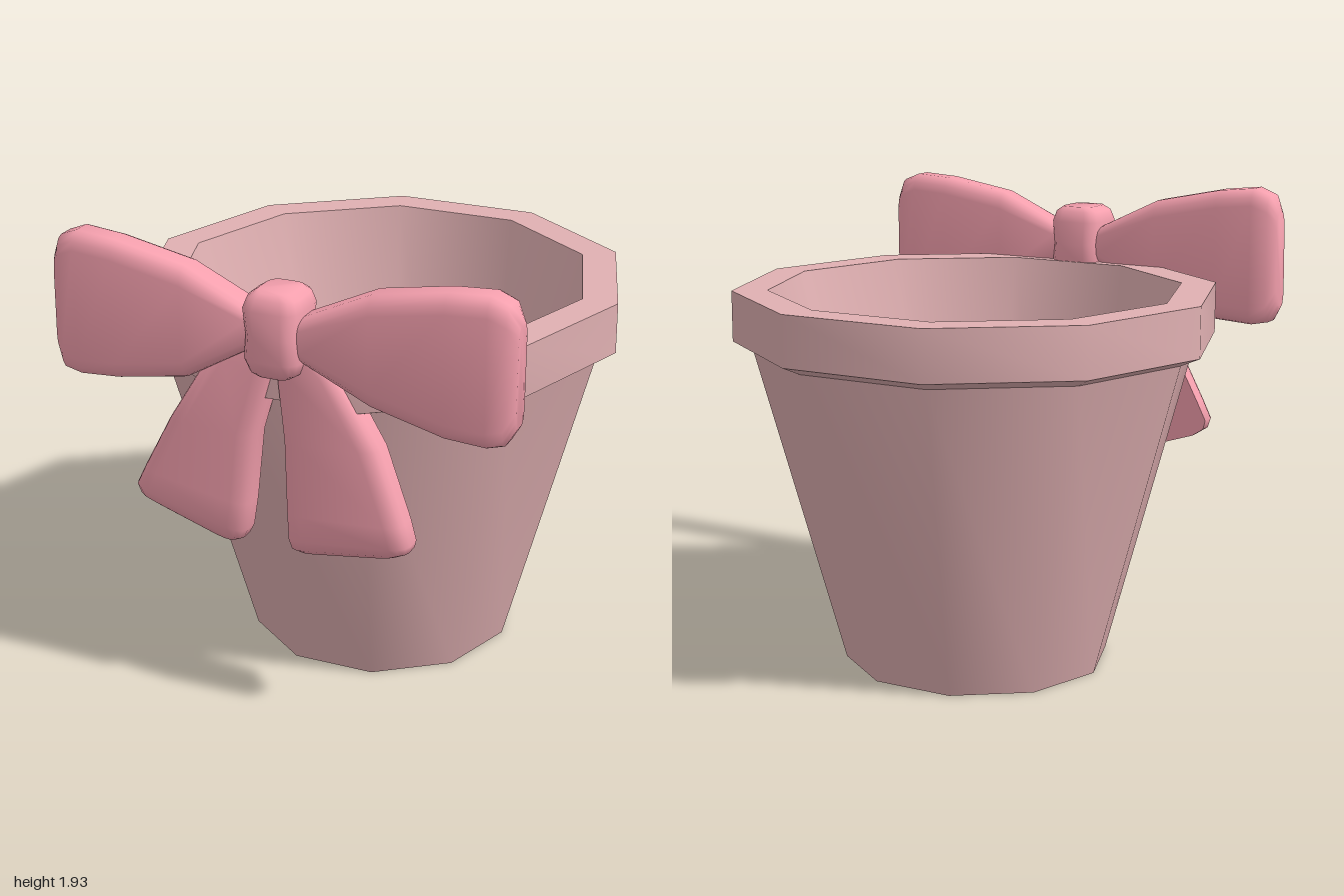
import * as THREE from 'three';
import { toCreasedNormals } from 'three/addons/utils/BufferGeometryUtils.js';

const STEPS = 3; // segments per rounded corner of a ribbon section

// Rounded-rectangle ribbon lofted through stations [ax, ay, bx, by, halfDepth].
// A and B are the two edges of the ribbon; backZ optionally cuts the back flat.
function ribbon(stations, centreZ, backZ = -Infinity) {
  const pos = [], index = [], n = 4 * (STEPS + 1);
  for (const [ax, ay, bx, by, d] of stations) {
    const w = Math.hypot(bx - ax, by - ay), h = w / 2;
    const ru = Math.min(0.07, h * 0.5), rw = d * 0.55;
    for (let q = 0; q < 4; q++) {
      const su = q === 0 || q === 3 ? 1 : -1, sw = q < 2 ? 1 : -1;
      for (let k = 0; k <= STEPS; k++) {
        const a = (q + k / STEPS) * Math.PI / 2;
        const u = su * (h - ru) + ru * Math.cos(a);
        const z = centreZ + sw * (d - rw) + rw * Math.sin(a);
        const t = 0.5 + u / w;
        pos.push(ax + (bx - ax) * t, ay + (by - ay) * t, Math.max(z, backZ));
      }
    }
  }
  const last = (stations.length - 1) * n;
  for (let r = 0; r < last; r += n) {
    for (let j = 0; j < n; j++) {
      const a = r + j, b = r + (j + 1) % n;
      index.push(a, b, a + n, b, b + n, a + n);
    }
  }
  for (let j = 1; j < n - 1; j++) {
    index.push(0, j + 1, j, last, last + j, last + j + 1);
  }
  const g = new THREE.BufferGeometry();
  g.setAttribute('position', new THREE.Float32BufferAttribute(pos, 3));
  g.setIndex(index);
  return toCreasedNormals(g, Math.PI / 3);
}

export function createModel() {
  const model = new THREE.Group();
  const potMaterial = new THREE.MeshStandardMaterial({ color: 0xe0b0b2 });
  const bowMaterial = new THREE.MeshStandardMaterial({ color: 0xf5a0ae });
  const add = (parent, name, geometry, material) => {
    const mesh = new THREE.Mesh(geometry, material);
    mesh.name = name;
    parent.add(mesh);
    return mesh;
  };

  // Ten-sided pot: base, wall, rim, then the inside down to the floor
  const profile = [
    [0, 0], [0.553, 0], [0.915, 1.325], [0.995, 1.36], [0.995, 1.567],
    [0.85, 1.567], [0.445, 0.08], [0, 0.08],
  ].map(([r, y]) => new THREE.Vector2(r, y));
  const potGeometry = toCreasedNormals(new THREE.LatheGeometry(profile, 10, Math.PI / 2), 0.7);
  add(model, 'pot', potGeometry, potMaterial).position.z = -0.055;

  const bow = new THREE.Group();
  bow.name = 'bow';
  model.add(bow);

  // Bow loops, from the knot outwards
  add(bow, 'leftLoop', ribbon([
    [0.0, 1.56, 0.0, 1.68, 0.07],
    [0.1, 1.54, 0.1, 1.72, 0.08],
    [0.37, 1.41, 0.37, 1.845, 0.082],
    [0.66, 1.335, 0.66, 1.895, 0.082],
    [0.82, 1.325, 0.82, 1.905, 0.082],
    [0.885, 1.343, 0.89, 1.877, 0.075],
    [0.925, 1.41, 0.928, 1.805, 0.045],
  ], 0.878), bowMaterial);
  add(bow, 'rightLoop', ribbon([
    [-0.03, 1.68, -0.03, 1.58, 0.07],
    [-0.12, 1.72, -0.12, 1.56, 0.08],
    [-0.39, 1.85, -0.39, 1.405, 0.082],
    [-0.68, 1.91, -0.68, 1.355, 0.082],
    [-0.84, 1.927, -0.84, 1.345, 0.082],
    [-0.91, 1.9, -0.915, 1.36, 0.075],
    [-0.945, 1.825, -0.952, 1.425, 0.045],
  ], 0.878), bowMaterial);

  // Hanging tails, from the knot down, flat at the back
  add(bow, 'leftTail', ribbon([
    [-0.04, 1.6, 0.08, 1.6, 0.08],
    [-0.03, 1.47, 0.22, 1.5, 0.09],
    [-0.005, 1.2, 0.385, 1.22, 0.09],
    [0.0, 0.9, 0.485, 0.93, 0.09],
    [0.003, 0.79, 0.507, 0.845, 0.088],
    [0.012, 0.745, 0.5, 0.815, 0.075],
    [0.04, 0.726, 0.45, 0.785, 0.05],
  ], 0.835, 0.815), bowMaterial);
  add(bow, 'rightTail', ribbon([
    [-0.12, 1.6, -0.03, 1.57, 0.08],
    [-0.29, 1.53, -0.045, 1.45, 0.09],
    [-0.49, 1.21, -0.12, 1.2, 0.09],
    [-0.61, 0.985, -0.155, 0.9, 0.09],
    [-0.65, 0.905, -0.175, 0.78, 0.088],
    [-0.64, 0.865, -0.195, 0.74, 0.075],
    [-0.59, 0.832, -0.24, 0.716, 0.05],
  ], 0.835, 0.815), bowMaterial);

  // Knot, slightly pinched at the middle
  add(bow, 'knot', ribbon([
    [0.055, 1.475, -0.085, 1.475, 0.085],
    [0.085, 1.495, -0.112, 1.495, 0.105],
    [0.102, 1.545, -0.13, 1.545, 0.12],
    [0.092, 1.64, -0.12, 1.64, 0.12],
    [0.102, 1.74, -0.132, 1.74, 0.12],
    [0.088, 1.785, -0.115, 1.785, 0.105],
    [0.06, 1.805, -0.085, 1.805, 0.085],
  ], 0.88), bowMaterial);

  return model;
}
